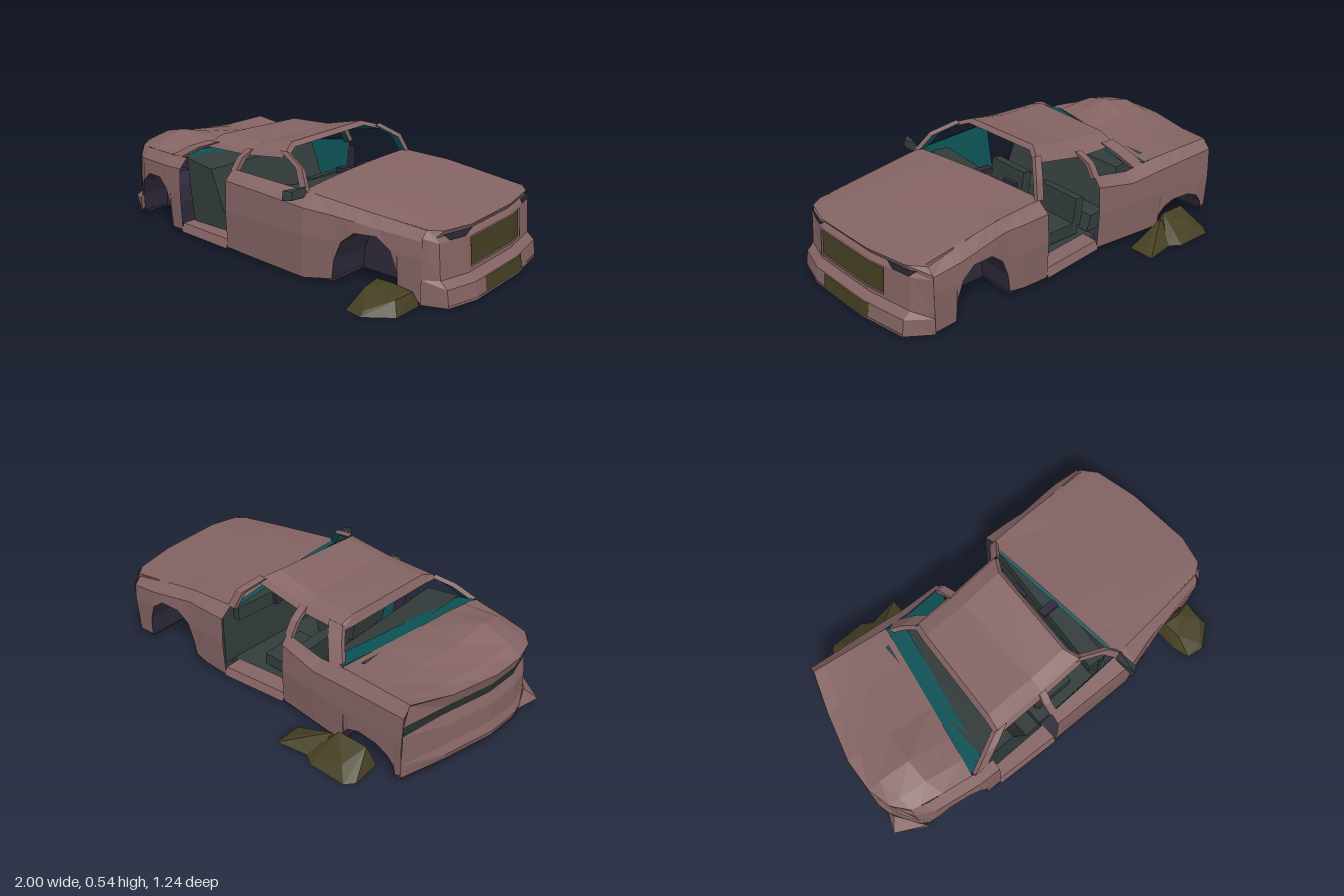
import * as THREE from 'three';
import { ConvexGeometry } from 'three/addons/geometries/ConvexGeometry.js';

const mat = (name, color, side = THREE.FrontSide) => Object.assign(new THREE.MeshStandardMaterial({ color, side }), { name });
const mix = (a, b, t) => a.map((v, i) => v + (b[i] - v) * t);

// Piecewise-linear lookup in a table of [key, ...values]
function look(tab, k) {
  let i = 0;
  while (i < tab.length - 2 && k > tab[i + 1][0]) i++;
  const [a, b] = [tab[i], tab[i + 1]];
  return mix(a, b, Math.min(1, Math.max(0, (k - a[0]) / (b[0] - a[0])))).slice(1);
}

// Flat-faceted sheet through rows of points, wound to face the hint direction
function sheet(rows, hint, back = false) {
  const tris = [];
  for (let i = 0; i < rows.length - 1; i++) for (let j = 0; j < rows[i].length - 1; j++) {
    const [a, b, c, d] = [rows[i][j], rows[i][j + 1], rows[i + 1][j + 1], rows[i + 1][j]];
    tris.push([a, b, c], [a, c, d]);
  }
  const n = new THREE.Vector3(), v = (p) => new THREE.Vector3(...p);
  for (const [a, b, c] of tris) n.add(v(b).sub(v(a)).cross(v(c).sub(v(a))));
  const flip = (n.dot(v(hint)) < 0) !== back;
  const g = new THREE.BufferGeometry();
  const pos = tris.flatMap(([a, b, c]) => (flip ? [a, c, b] : [a, b, c])).flat();
  g.setAttribute('position', new THREE.Float32BufferAttribute(pos, 3));
  g.computeVertexNormals();
  return g;
}

// Belt line [x, y, z] and widest line [x, z] of each flank
const BELT = {
  1: [[-0.93, 0.355, 0.33], [-0.8, 0.36, 0.37], [-0.57, 0.37, 0.41], [-0.14, 0.385, 0.43], [0.28, 0.368, 0.42], [0.62, 0.335, 0.39], [0.9, 0.31, 0.35]],
  '-1': [[-0.83, 0.388, -0.425], [-0.45, 0.36, -0.383], [-0.32, 0.345, -0.378], [-0.1, 0.383, -0.37], [0.21, 0.38, -0.38], [0.45, 0.37, -0.39], [0.85, 0.315, -0.41]],
};
const WIDE = {
  1: [[-0.93, 0.34], [-0.8, 0.42], [-0.57, 0.46], [-0.12, 0.485], [0.33, 0.495], [0.46, 0.46], [0.9, 0.385]],
  '-1': [[-0.82, -0.47], [-0.4, -0.44], [-0.1, -0.41], [0.25, -0.45], [0.45, -0.435], [0.68, -0.46], [0.86, -0.455]],
};
const belt = (s, x) => [x, ...look(BELT[s], x)];
const wide = (s, x) => look(WIDE[s], x)[0];

// Wheel arch outlines [x, y]; the far rear one is crushed low
const ARCH = [[-0.15, 0.03], [-0.14, 0.12], [-0.11, 0.2], [-0.05, 0.25], [0.05, 0.255], [0.11, 0.21], [0.14, 0.13], [0.145, 0.025]];
const arch = (cx, k = 1) => ARCH.map(([x, y]) => [x + cx, 0.025 + (y - 0.025) * k]);
const REAR = { 1: [-0.69, 1], '-1': [-0.64, 0.5] }, FRONT = { 1: [0.615, 1], '-1': [0.58, 1] };

// Nose and tail plan lines [z, x]; nose profile [y, x offset]
const NOSE = [[-0.455, 0.83], [-0.38, 0.89], [-0.15, 0.935], [0.2, 0.95], [0.35, 0.915], [0.392, 0.86]];
const TAIL = [[-0.465, -0.82], [-0.25, -0.89], [0, -0.955], [0.17, -0.965], [0.29, -0.94], [0.375, -0.88]];
const NOSE_ROWS = [[0.01, 0.05], [0.085, 0.04], [0.115, 0.007], [0.265, -0.005], [0.285, -0.02], [0.312, 0]];
const nose = (z, y, off = 0) =>
  [look(NOSE, z)[0] + off + (z < -0.45 || z > 0.385 ? 0 : look(NOSE_ROWS, y)[0]), y, y > 0.305 ? z * 0.93 : z];

export function createModel() {
  const body = mat('body paint', 0x846363), teal = mat('inner lining', 0x0c5255), trim = mat('seat and trim', 0x323c3b),
    under = mat('underbody', 0x2e2839, THREE.DoubleSide), olive = mat('grille and rubble', 0x443e21), lamp = mat('tail lamp', 0x29312f);
  const car = new THREE.Group();
  car.name = 'wreckedCar';
  const add = (name, geo, m) => {
    const mesh = new THREE.Mesh(geo, m);
    mesh.name = name;
    car.add(mesh);
    return mesh;
  };
  const panel = (name, rows, hint, outer = body, inner = null) => {
    add(name, sheet(rows, hint), outer);
    if (inner) add(name + 'Lining', sheet(rows, hint, true), inner);
  };
  const box = (name, w, h, d, x, y, z, m) => {
    const mesh = add(name, new THREE.BoxGeometry(w, h, d), m);
    mesh.position.set(x, y, z);
    return mesh;
  };
  const lump = (name, pts, m) => add(name, new ConvexGeometry(pts.map((p) => new THREE.Vector3(...p))), m);

  // Flanks: belt, shoulder, waist and lower edge following the arches
  const flank = (name, s, stations) => panel(name, stations.map(([x, y]) => {
    const b = belt(s, x), w = wide(s, x);
    return [b, [x, b[1] - 0.045, w - s * 0.006], [x, Math.max(y, 0.2), w], [x, y, w - s * (y < 0.1 ? 0.008 : 0)]];
  }), [0, 0, s], body, under);
  flank('leftRearQuarter', 1, [[-0.88, 0.04], ...arch(...REAR[1]), [-0.47, 0.03]]);
  flank('frontDoor', 1, [[-0.14, 0.025], [0.1, 0.018], [0.33, 0.012]]);
  flank('leftFrontFender', 1, [[0.33, 0.012], ...arch(...FRONT[1]), [0.86, 0.015]]);
  flank('rightRearQuarter', -1, [[-0.82, 0.04], ...arch(...REAR[-1])]);
  flank('rearDoor', -1, [[-0.495, 0.025], [-0.42, 0.025], [-0.32, 0.025], [-0.12, 0.025]]);
  flank('rightFrontFender', -1, [[0.22, 0.02], [0.35, 0.02], ...arch(...FRONT[-1]), [0.83, 0.015]]);

  for (const s of [1, -1]) {
    // Sills under the open doorways
    const [a, b] = s > 0 ? [-0.47, -0.14] : [-0.12, 0.22];
    panel('sill', [a, b].map((x) => [[x, 0.06, wide(s, x) - s * 0.1], [x, 0.06, wide(s, x) - s * 0.015], [x, 0.02, wide(s, x)]]), [0, 1, s]);
    // Linings of the remaining doors, leaning in towards the floor
    panel('doorLining', (s > 0 ? [-0.14, 0.28] : [-0.5, -0.42, -0.32, -0.12]).map((x) => {
      const [, y, z] = belt(s, x);
      return [[x, y - 0.002, z - s * 0.002], [x, 0.05, z - s * 0.06]];
    }), [0, 0, -s], teal);
    // Wheel wells
    for (const [cx, k] of [REAR[s], FRONT[s]]) {
      const pts = arch(cx, k);
      panel('wheelWell', pts.map(([x, y]) => [[x, y, wide(s, x)], [x, y, s * 0.25]]), [0, -1, 0], under);
      panel('wheelWellWall', pts.map(([x, y]) => [[x, y, s * 0.25], [x, 0.02, s * 0.25]]), [0, 0, s], under);
    }
  }

  // Flat underside with notches at the wheels
  const outline = [];
  for (const s of [1, -1]) {
    const notch = (cx) => [[cx - 0.15, 0], [cx - 0.15, 1], [cx + 0.145, 1], [cx + 0.145, 0]];
    const run = [[s > 0 ? -0.88 : -0.82, 0], ...notch(REAR[s][0]), [-0.1, 0], [0.28, 0], ...notch(FRONT[s][0]), [s > 0 ? 0.86 : 0.83, 0]];
    const pts = run.map(([x, inn]) => new THREE.Vector2(x, inn ? s * 0.25 : wide(s, x) - s * 0.008));
    if (s > 0) outline.push(...pts, ...[0.35, 0.2, -0.15, -0.38].map((z) => new THREE.Vector2(nose(z, 0.01)[0], z)));
    else outline.push(...pts.reverse(), ...TAIL.slice(1, 5).map(([z, x]) => new THREE.Vector2(x, z)));
  }
  const floor = add('underside', new THREE.ShapeGeometry(new THREE.Shape(outline)), under);
  floor.rotation.x = Math.PI / 2;
  floor.position.y = 0.02;

  // Nose, bumper and bonnet
  panel('noseAndBumper', NOSE_ROWS.map(([y]) => NOSE.map(([z]) => nose(z, y))), [1, 0, 0], body, under);
  panel('bonnet', [0, 0.387, 0.586, 1].map((t) => NOSE.map(([z], j) => {
    const b = mix(belt(-1, 0.21), belt(1, 0.28), j / 5);
    b[1] += 0.01 * Math.sin(j / 5 * Math.PI);
    const p = mix(b, nose(z, 0.312), t);
    if (t > 0 && t < 1) p[1] += 0.006;
    return t < 1 && j % 5 === 0 ? belt(j ? 1 : -1, p[0]) : p;
  })), [0, 1, 0], body, under);

  // Grille, lower intake and headlights set on the nose
  const plate = (name, bottom, top, y0, y1, m, off = 0.004) =>
    panel(name, [bottom.map((z) => nose(z, y0, off)), top.map((z) => nose(z, y1, off))], [1, 0, 0], m);
  const main = [-0.24, -0.15, 0.19], intake = [-0.19, -0.15, 0.13], rim = [-0.248, -0.15, 0.198];
  plate('grille', main, main, 0.145, 0.26, olive);
  plate('lowerIntake', intake, intake, 0.02, 0.084, olive);
  plate('rightHeadlight', [-0.375, -0.36, -0.29], [-0.405, -0.38, -0.26], 0.27, 0.3, under, 0.008);
  plate('leftHeadlight', [0.22, 0.26, 0.3], [0.17, 0.2, 0.335], 0.27, 0.3, under, 0.008);
  for (const y of [0.138, 0.258]) plate('grilleRim', rim, rim, y, y + 0.007, body, 0.009);
  for (const z of [-0.248, 0.19]) plate('grilleRim', [z, z + 0.008], [z, z + 0.008], 0.138, 0.265, body, 0.009);

  // Tail: boot lip, lamp band, rear panel and bumper
  const tail = (name, rows, m = body, from = 0, to = 6) => panel(name, rows.map(([y, o]) => TAIL.map(([z, x], j) =>
    [x + (j % 5 ? o : 0), y > 0.32 && j === 0 ? 0.388 : y, z * (y > 0.32 ? 0.93 : 1)]).slice(from, to)), [-1, 0, 0], m, under);
  tail('bootLip', [[0.36, 0], [0.3, 0.02]]);
  tail('tailLampBand', [[0.3, 0.02], [0.25, 0.03]], lamp, 0, 5);
  tail('rearCorner', [[0.3, 0.02], [0.25, 0.03]], body, 4);
  tail('rearPanelAndBumper', [[0.25, 0.03], [0.2, 0.012], [0.1, 0.008], [0.06, -0.008], [0.03, 0]]);
  lump('bentBumperCorner', [[-1, 0.06, 0.32], [-0.97, 0.03, 0.32], [-0.85, 0.03, 0.405], [-0.86, 0.09, 0.4],
    [-0.95, 0.12, 0.27], [-0.96, 0.04, 0.22]], body);

  // Buckled boot lid
  const bump = [0, 0.01, 0.03, 0.065, 0.04, 0];
  panel('bootLid', [0, 0.5, 0.85, 1].map((t, r) => TAIL.map(([z, x], j) => {
    const p = mix(mix([-0.44, 0.36, -0.38], [-0.585, 0.372, 0.41], (z + 0.465) / 0.84), [x, 0.36, z * 0.93], t);
    p[1] += bump[j] * [0.15, 1, 0.55, 0][r];
    return j % 5 ? p : belt(j ? 1 : -1, p[0]);
  })), [0, 1, 0], body, teal);
  panel('rearShelf', [[[-0.585, 0.373, 0.4], [-0.505, 0.364, 0.38]], [[-0.44, 0.362, -0.38], [-0.36, 0.352, -0.36]]], [0, 1, 0], teal, teal);

  // Roof skin with its front edge, rear header, side rails and sloping lining
  const roof = [
    [[-0.38, 0.455, 0.34], [-0.12, 0.46, 0.34], [0.1, 0.485, 0.34]],
    [[-0.37, 0.48, 0.27], [-0.12, 0.48, 0.27], [0.07, 0.513, 0.27]],
    [[-0.34, 0.483, -0.19], [-0.12, 0.49, -0.19], [0.09, 0.535, -0.19]],
    [[-0.33, 0.462, -0.26], [-0.12, 0.467, -0.26], [0.13, 0.512, -0.26]],
  ];
  const frontEdge = roof.map(([, , p]) => [p[0] + 0.02, p[1] - 0.02, p[2]]);
  const rearEdge = roof.map(([p]) => [p[0] - 0.02, 0.44, p[2] * 1.02]);
  panel('roof', roof, [0, 1, 0]);
  panel('roofFrontEdge', [roof.map((r) => r[2]), frontEdge], [1, 0.6, 0]);
  panel('roofRearHeader', [roof.map((r) => r[0]), rearEdge], [-1, 0.6, 0]);
  panel('roofLining', [frontEdge, roof.map(([, p]) => [p[0], p[1] - 0.02, p[2]]), rearEdge], [0, -1, 0], teal);
  for (const [k, s] of [[0, 1], [3, -1]])
    panel('roofRail', [roof[k], roof[k].map(([x, y, z]) => [x, y - 0.022, z + s * 0.02])], [0, 0.3, s], body, teal);

  // Pillars: bent beams, painted outside and lined inside
  const pillar = (name, s, pts, w) => {
    const edge = (dx, dy, dz) => pts.map(([x, y, z]) => [x + dx, y + dy, z - s * dz]);
    const [a, b, c, d] = [edge(-w, 0, 0), edge(w, 0.004, 0), edge(w, -0.006, 0.022), edge(-w, -0.01, 0.022)];
    panel(name, [a, b], [0, 0.4, s]);
    panel(name + 'Front', [b, c], [1, 0, 0]);
    panel(name + 'Back', [a, d], [-1, 0, 0]);
    panel(name + 'Lining', [c, d], [0, -0.4, -s], teal);
  };
  pillar('windscreenPillar', 1, [[0.09, 0.488, 0.345], [0.22, 0.445, 0.39], [0.285, 0.36, 0.43]], 0.018);
  pillar('windscreenPillar', -1, [[0.125, 0.515, -0.265], [0.19, 0.455, -0.35], [0.215, 0.375, -0.385]], 0.018);
  pillar('doorPillar', 1, [[-0.12, 0.462, 0.345], [-0.13, 0.43, 0.395], [-0.13, 0.38, 0.435]], 0.018);
  pillar('doorPillar', -1, [[-0.12, 0.468, -0.265], [-0.13, 0.43, -0.34], [-0.13, 0.37, -0.378]], 0.018);
  pillar('rearPillar', 1, [[-0.36, 0.458, 0.345], [-0.45, 0.425, 0.385], [-0.54, 0.37, 0.418]], 0.035);
  pillar('rearPillar', -1, [[-0.305, 0.463, -0.265], [-0.345, 0.42, -0.32], [-0.405, 0.348, -0.382]], 0.038);

  // Rear bench
  const bench = new THREE.Shape([[-0.5, 0.365], [-0.33, 0.338], [-0.25, 0.145], [-0.17, 0.135], [-0.145, 0.06], [-0.46, 0.05]].map((p) => new THREE.Vector2(...p)));
  add('rearBench', new THREE.ExtrudeGeometry(bench, { depth: 0.7, bevelEnabled: false }), trim).position.z = -0.31;

  // Front cabin: floor, low seats, bulkhead, dashboard, steering column
  box('cabinFloor', 0.46, 0.03, 0.72, 0.07, 0.04, 0.01, trim);
  for (const z of [0.2, -0.17]) {
    box('frontSeatCushion', 0.2, 0.06, 0.24, 0, 0.09, z, trim);
    box('frontSeatBack', 0.05, 0.14, 0.24, -0.105, 0.17, z, trim).rotation.z = 0.15;
  }
  box('bulkhead', 0.02, 0.3, 0.79, 0.24, 0.2, -0.01, trim).rotation.y = -0.06;
  box('dashboard', 0.09, 0.07, 0.72, 0.225, 0.315, 0.02, trim).rotation.y = -0.09;
  panel('dashboardEdge', [[[0.2, 0.372, -0.37], [0.22, 0.378, -0.37]], [[0.265, 0.36, 0.4], [0.29, 0.366, 0.4]]], [0, 1, 0], teal, teal);
  box('steeringColumn', 0.1, 0.025, 0.04, 0.2, 0.355, 0.04, under);
  box('brokenWheelRim', 0.02, 0.05, 0.08, 0.16, 0.33, -0.12, under);

  // Door mirror
  lump('doorMirror', [[0.26, 0.355, 0.42], [0.29, 0.385, 0.42], [0.3, 0.345, 0.43], [0.265, 0.345, 0.54],
    [0.27, 0.392, 0.54], [0.3, 0.385, 0.52], [0.305, 0.35, 0.52]], trim);

  // Rubble beside the car
  lump('rubble', [[0.63, 0, 0.38], [0.85, 0, 0.38], [0.85, 0, 0.53], [0.74, 0, 0.615], [0.655, 0, 0.6], [0.63, 0, 0.52], [0.66, 0.075, 0.41],
    [0.74, 0.082, 0.42], [0.83, 0.06, 0.4], [0.82, 0.055, 0.5], [0.67, 0.068, 0.5], [0.74, 0.02, 0.59]], olive);
  lump('rubble', [[-0.68, 0, -0.44], [-0.685, 0, -0.58], [-0.65, 0, -0.62], [-0.47, 0, -0.62], [-0.41, 0, -0.58], [-0.42, 0, -0.45],
    [-0.64, 0.09, -0.46], [-0.5, 0.1, -0.47], [-0.6, 0.045, -0.57], [-0.48, 0.045, -0.56]], olive);
  lump('rubble', [[-0.5, 0, -0.45], [-0.27, 0, -0.48], [-0.27, 0, -0.61], [-0.46, 0, -0.58], [-0.47, 0.085, -0.48], [-0.29, 0.015, -0.55]], olive);
  return car;
}
